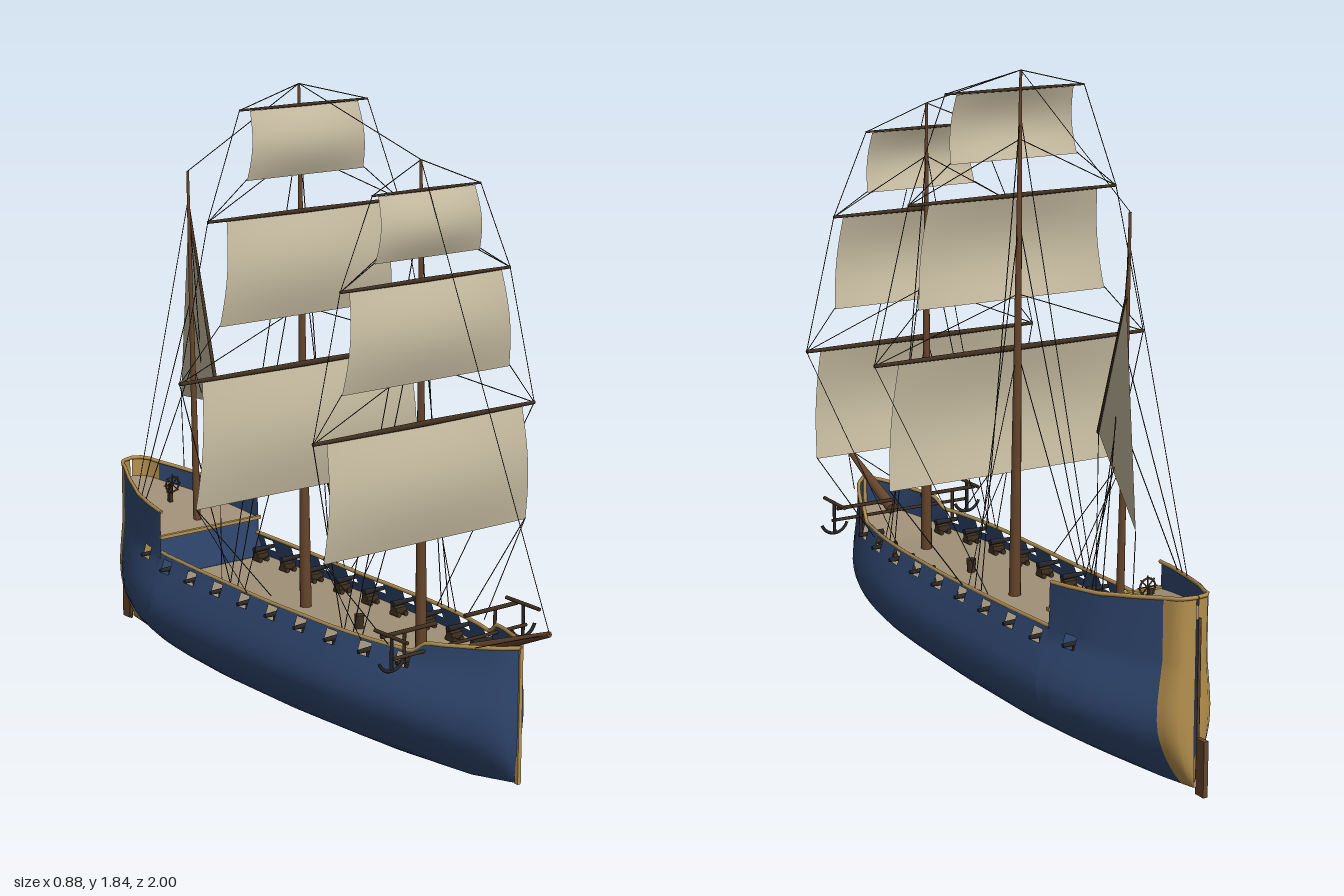
import * as THREE from 'three';

const mat = (name, color, double) => {
  const m = new THREE.MeshStandardMaterial({ color });
  m.name = name;
  if (double) m.side = THREE.DoubleSide;
  return m;
};
const V = (x, y, z) => new THREE.Vector3(x, y, z);

// Linear lookup in a table of [z, value], ordered from bow to stern
function at(table, z) {
  for (let i = 1; i < table.length; i++) {
    const [z0, a] = table[i - 1], [z1, b] = table[i];
    if (z >= z1) return a + (b - a) * Math.min(1, Math.max(0, (z0 - z) / (z0 - z1)));
  }
  return table[table.length - 1][1];
}

// Hull lines: half beam, keel height, rail height, deck height, section fullness
const BEAM = [[.89, .004], [.85, .05], [.8, .087], [.7, .142], [.6, .18], [.5, .205], [.4, .221], [.3, .23], [.1, .235],
  [-.3, .235], [-.5, .228], [-.6, .21], [-.7, .18], [-.8, .134], [-.85, .106], [-.89, .082], [-.92, .068], [-.94, .047], [-.95, .004]];
const KEEL = [[.89, .08], [.7, .045], [.4, .02], [0, .005], [-.3, .005], [-.6, .02], [-.8, .04], [-.95, .06]];
const RAIL = [[.89, .457], [.7, .437], [.65, .43], [.613, .402], [0, .398], [-.519, .408], [-.521, .533], [-.7, .546], [-.95, .582]];
const DECK = [[.89, .375], [.6, .33], [-.519, .33], [-.521, .455], [-.95, .522]];
const SECTION = [[1, .8], [.85, .89], [.7, .965], [.58, 1], [.45, .94], [.35, .83], [.25, .66], [.15, .44], [.07, .22], [0, 0]];
const halfWidth = (z, y) => {
  const k = at(KEEL, z);
  return at(BEAM, z) * at(SECTION, Math.min(1, (y - k) / (.4 - k)));
};
const PORTS = Array.from({ length: 10 }, (_, i) => .59 - i * .133);
const portY = z => (z < -.55 ? .37 : .357);

export function createModel() {
  const model = new THREE.Group();
  const hullBlue = mat('hull blue', 0x324a74, true), gold = mat('ochre trim', 0xb6914e, true);
  const deckMat = mat('deck planks', 0xa09077, true), sailMat = mat('sail cloth', 0xc8bda2, true);
  const wood = mat('mast wood', 0x65452b), dark = mat('dark timber', 0x40301f);
  const rope = mat('rope', 0x35302a), iron = mat('iron', 0x26262a);

  const add = (name, geo, material, x = 0, y = 0, z = 0, parent = model) => {
    const m = new THREE.Mesh(geo, material);
    m.name = name;
    m.position.set(x, y, z);
    parent.add(m);
    return m;
  };
  // Tapered round bar between two points
  const bar = (name, a, b, r0, r1, material, sides = 8, parent = model) => {
    const d = b.clone().sub(a);
    const m = add(name, new THREE.CylinderGeometry(r1, r0, d.length(), sides), material, 0, 0, 0, parent);
    m.position.copy(a).add(b).multiplyScalar(.5);
    m.quaternion.setFromUnitVectors(V(0, 1, 0), d.normalize());
    return m;
  };
  const rigging = new THREE.Group();
  rigging.name = 'rigging';
  model.add(rigging);
  const line = (a, b) => bar('rope', a, b, .0014, .0014, rope, 4, rigging);

  // Grid surface from rows of points; skip(i, j) leaves a hole
  const surface = (name, rows, material, skip = () => false) => {
    const n = rows[0].length, index = [];
    for (let i = 0; i < rows.length - 1; i++) for (let j = 0; j < n - 1; j++) {
      if (skip(i, j)) continue;
      const a = i * n + j, b = a + n;
      index.push(a, b, a + 1, b, b + 1, a + 1);
    }
    const g = new THREE.BufferGeometry().setFromPoints(rows.flat());
    g.setIndex(index);
    g.computeVertexNormals();
    return add(name, g, material);
  };

  // Stations along the length, including the edges of every gun port
  const zs = [.89, .87, .85, .82, .78, .74, .7, .65, .519, .39, .25, .12, -.01, -.15, -.28, -.41, -.519, -.521, -.56, -.66, -.7,
    -.75, -.8, -.85, -.89, -.905, -.92, -.93, -.94, -.946, -.95];
  PORTS.forEach(p => zs.push(p + .021, p - .021));
  zs.sort((a, b) => b - a);

  // Hull shell, one cross-section per station, rail to keel to rail
  const section = z => {
    const k = at(KEEL, z), p = portY(z), ys = [];
    for (let i = 0; i <= 12; i++) ys.push(k + (p - k) * (i / 12) ** 1.3);
    ys.push(p + .036, at(RAIL, z));
    const side = s => ys.map(y => V(s * halfWidth(z, y), y, z));
    return [...side(1).reverse(), ...side(-1).slice(1)];
  };
  const blueZ = zs.filter(z => z >= -.89), sternZ = zs.filter(z => z <= -.89);
  const isPort = (i, j) => (j === 1 || j === 26) && PORTS.some(p => Math.abs((blueZ[i] + blueZ[i + 1]) / 2 - p) < .01);
  surface('hull', blueZ.map(section), hullBlue, isPort);
  surface('sternPanel', sternZ.map(section), gold);

  // Decks and the bulkhead between them
  const deckRow = z => {
    const y = at(DECK, z), w = halfWidth(z, y) * .99;
    return [V(-w, y, z), V(w, y, z)];
  };
  surface('mainDeck', zs.filter(z => z > -.52).map(deckRow), deckMat);
  surface('poopDeck', zs.filter(z => z < -.52).map(deckRow), deckMat);
  surface('poopBulkhead', [.455, .39, .33].map(y => [V(-halfWidth(-.52, y), y, -.52), V(halfWidth(-.52, y), y, -.52)]), hullBlue);
  add('poopBeam', new THREE.BoxGeometry(.37, .01, .012), gold, 0, .456, -.517);

  // Rails and stem
  for (const s of [1, -1]) {
    for (const part of [zs.filter(z => z > -.52), zs.filter(z => z < -.52)]) {
      const pts = part.map(z => V(s * Math.max(0, halfWidth(z, at(RAIL, z)) - .004), at(RAIL, z), z));
      add('rail', new THREE.TubeGeometry(new THREE.CatmullRomCurve3(pts), 90, .006, 5), gold);
    }
  }
  add('stem', new THREE.BoxGeometry(.011, .38, .012), gold, 0, .268, .887);

  // Rudder
  add('rudder', new THREE.BoxGeometry(.014, .155, .036), wood, 0, .128, -.982);
  bar('rudderPost', V(0, .05, -.962), V(0, .53, -.962), .004, .004, wood, 6);

  // Guns, one behind each port
  for (const z of PORTS) for (const s of [1, -1]) {
    const gun = new THREE.Group(), y = portY(z);
    gun.name = 'gun';
    gun.position.set(s * (halfWidth(z, y) - .042), y, z);
    gun.scale.x = 1;
    model.add(gun);
    add('carriage', new THREE.BoxGeometry(.04, .018, .026), dark, 0, -.008, 0, gun);
    for (const dx of [-.013, .013]) {
      const axle = add('wheels', new THREE.CylinderGeometry(.008, .008, .036, 8), dark, dx, -.019, 0, gun);
      axle.rotation.x = Math.PI / 2;
    }
    bar('barrel', V(-s * .025, .012, 0), V(s * .058, .012, 0), .0095, .006, iron, 8, gun);
  }

  // Masts and bowsprit
  const masts = {
    fore: [V(0, .33, .483), V(0, 1.69, .462), .017],
    main: [V(0, .33, -.04), V(0, 1.84, -.07), .018],
    mizzen: [V(0, .45, -.588), V(0, 1.53, -.617), .012],
  };
  for (const k in masts) bar(k + 'Mast', masts[k][0], masts[k][1], masts[k][2], .004, wood, 10);
  const tip = V(0, .524, .997);
  bar('bowsprit', V(0, .4, .7), tip, .02, .008, wood, 10);
  const onMast = (k, y) => {
    const [a, b] = masts[k];
    return a.clone().lerp(b, (y - a.y) / (b.y - a.y));
  };

  // Square sails: yard height, yard half length, foot height, half width at head and foot
  const squareRig = {
    fore: [[.985, .385, .66, .34, .355], [1.375, .292, 1.105, .262, .29], [1.615, .185, 1.44, .165, .18]],
    main: [[1.055, .44, .695, .365, .395], [1.49, .335, 1.2, .272, .302], [1.785, .222, 1.595, .187, .203]],
  };
  for (const k in squareRig) {
    let above = null;
    squareRig[k].forEach(([y, len, foot, wTop, wFoot], i) => {
      const z = onMast(k, y).z + .026, r = .009 - i * .002;
      for (const s of [1, -1]) bar('yard', V(0, y, z), V(s * len, y, z), r, r * .6, dark, 8);
      const rows = [];
      for (let v = 0; v <= 10; v++) {
        const t = v / 10, w = wTop + (wFoot - wTop) * t, row = [];
        for (let u = -5; u <= 5; u++) {
          const h = u / 5;
          row.push(V(h * w, y - .004 + (foot - y) * t, z + Math.sin(Math.PI * t) * (.028 - .01 * h * h) + .006 * t));
        }
        rows.push(row);
      }
      surface('squareSail', rows, sailMat);
      for (const s of [1, -1]) {
        const end = V(s * len, y, z), clew = V(s * wFoot, foot, z + .006);
        if (above) {
          line(V(s * above[0], above[1], above[2]), end); // lift
          line(clew, V(s * above[0], above[1], above[2])); // sheet
        } else {
          line(end, V(s * .17, .4, z - .15)); // brace
          line(clew, V(s * .19, .4, z - .04));
          line(clew, V(s * .17, .41, z + .05));
        }
        line(end, onMast(k, y + .16 > masts[k][1].y ? masts[k][1].y : y + .16));
      }
      above = [len, y, z];
    });
  }

  // Lateen sail on its slanting yard
  const low = V(-.065, .88, -.375), peak = V(.18, 1.37, -.875), clew = V(.16, .77, -.9);
  bar('lateenYard', low, peak, .006, .004, dark, 8);
  const lateen = [];
  for (let i = 0; i <= 8; i++) {
    const a = low.clone().lerp(peak, i / 8), b = low.clone().lerp(clew, i / 8);
    lateen.push(Array.from({ length: 5 }, (_, j) => a.clone().lerp(b, j / 4)));
  }
  surface('lateenSail', lateen, sailMat);
  line(low, V(-.06, .34, -.375));
  line(clew, V(.1, .56, -.8));

  // Stays and shrouds
  const tops = ['fore', 'main', 'mizzen'].map(k => masts[k][1]);
  [[tip, tops[0]], [tops[0], tops[1]], [tops[1], tops[2]]].forEach(([a, b]) => line(a, b));
  const shrouds = { fore: [.985, 1.33, 1.55], main: [1.05, 1.42, 1.72], mizzen: [.95, 1.15, 1.45] };
  for (const k in shrouds) shrouds[k].forEach((y, i) => {
    for (const s of [1, -1]) {
      const z = masts[k][0].z - .05 - i * .035, rail = at(RAIL, z);
      line(onMast(k, y), V(s * (halfWidth(z, rail) - .006), rail, z));
    }
  });
  for (const s of [1, -1]) line(tip, V(s * .08, .45, .8));

  // Catheads and anchors
  bar('catheadBeam', V(-.235, .41, .65), V(.235, .41, .65), .005, .005, dark, 6);
  for (const s of [1, -1]) {
    bar('cathead', V(s * .05, .46, .605), V(s * .24, .46, .605), .006, .006, dark, 6);
    bar('catheadPost', V(s * .16, .37, .605), V(s * .16, .46, .605), .005, .005, dark, 6);
    bar('anchorShank', V(s * .232, .37, .64), V(s * .232, .47, .64), .005, .005, iron, 6);
    bar('anchorStock', V(s * .232, .468, .57), V(s * .232, .468, .705), .006, .006, dark, 6);
    const arms = add('anchorArms', new THREE.TorusGeometry(.045, .005, 6, 14, Math.PI * .8), iron, s * .232, .418, .64);
    arms.rotation.z = Math.PI * 1.1;
  }

  // Steering wheel, capstan and bitts
  add('steeringWheel', new THREE.TorusGeometry(.024, .003, 6, 18), dark, 0, .545, -.72);
  for (let i = 0; i < 4; i++) {
    const spoke = add('wheelSpoke', new THREE.CylinderGeometry(.002, .002, .062, 5), dark, 0, .545, -.72);
    spoke.rotation.z = i * Math.PI / 4;
  }
  add('wheelStand', new THREE.BoxGeometry(.012, .06, .012), dark, 0, .515, -.732);
  add('capstan', new THREE.CylinderGeometry(.015, .012, .04, 10), dark, 0, .35, .21);
  return model;
}
